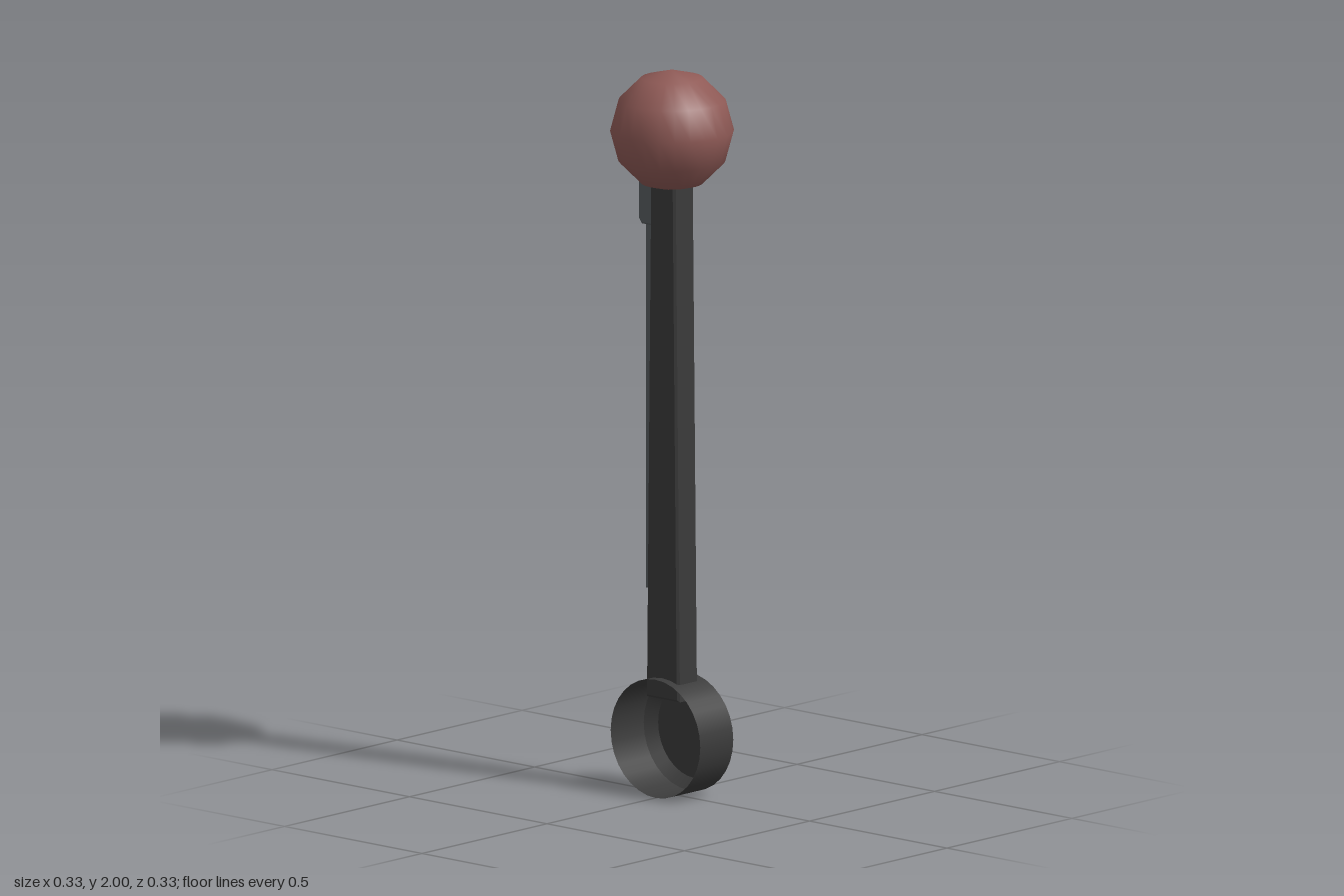
import * as THREE from 'three';

const iron = new THREE.MeshStandardMaterial({ color: 0x3b3b3b });
iron.name = 'dark iron';
const hubIron = new THREE.MeshStandardMaterial({ color: 0x3b3b3b, side: THREE.DoubleSide });
hubIron.name = 'dark iron sheet';
const steel = new THREE.MeshStandardMaterial({ color: 0x585d60 });
steel.name = 'grey steel';
const red = new THREE.MeshStandardMaterial({ color: 0x8f5a56 });
red.name = 'dull red';

function add(group, name, geometry, material) {
  const mesh = new THREE.Mesh(geometry, material);
  mesh.name = name;
  group.add(mesh);
  return mesh;
}

// Front outline pushed back from z1 to z0, with a small chamfer all round
function slab(points, z0, z1, bevel) {
  const shape = new THREE.Shape(points.map(([x, y]) => new THREE.Vector2(x, y)));
  const geometry = new THREE.ExtrudeGeometry(shape, {
    depth: z1 - z0 - 2 * bevel, bevelEnabled: bevel > 0,
    bevelThickness: bevel, bevelSize: bevel, bevelOffset: -bevel, bevelSegments: 1,
  });
  return geometry.translate(0, 0, z0 + bevel);
}

export function createModel() {
  const model = new THREE.Group();
  model.name = 'lever';

  // Round knob
  add(model, 'knob', new THREE.SphereGeometry(0.167, 24, 6), red).position.y = 1.833;

  // Tapered arm, narrower towards the knob
  add(model, 'arm', slab(
    [[-0.06, 0.27], [0.06, 0.27], [0.044, 1.75], [-0.044, 1.75]], -0.04, 0.04, 0.006), iron);

  // Hub: thin cup, open to the front, with a chamfered back
  const hub = new THREE.Group();
  hub.name = 'hub';
  hub.position.y = 0.166;
  model.add(hub);
  const wall = new THREE.CylinderGeometry(0.163, 0.163, 0.132, 32, 1, true);
  add(hub, 'hubWall', wall.rotateX(Math.PI / 2), hubIron);
  const chamfer = new THREE.CylinderGeometry(0.163, 0.135, 0.027, 32, 1, true);
  add(hub, 'hubChamfer', chamfer.rotateX(Math.PI / 2).translate(0, 0, -0.0795), hubIron);
  const back = new THREE.CircleGeometry(0.135, 32).rotateY(Math.PI);
  add(hub, 'hubBack', back.translate(0, 0, -0.093), hubIron);

  // Latch block beside the arm and the rod hanging from it
  add(model, 'latchBlock', slab(
    [[-0.12, 1.575], [-0.108, 1.56], [-0.04, 1.56], [-0.04, 1.73], [-0.1, 1.73], [-0.12, 1.69]],
    -0.05, 0.006, 0.005), steel);
  add(model, 'latchRod', slab(
    [[-0.105, 0.555], [-0.07, 0.555], [-0.07, 1.6], [-0.105, 1.6]], -0.036, -0.008, 0.004), steel);

  return model;
}
